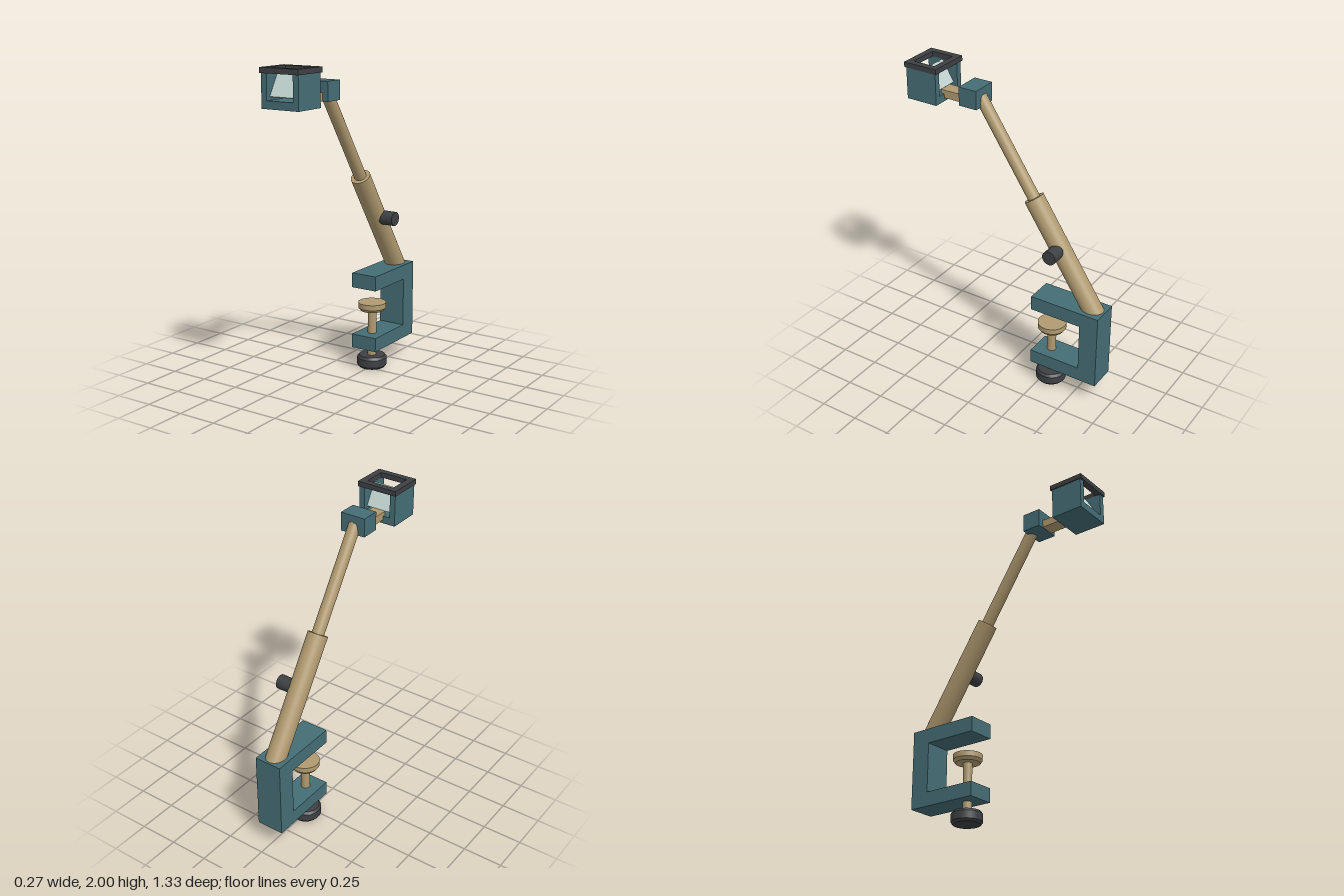
import * as THREE from 'three';

const paint = (color) => new THREE.MeshStandardMaterial({ color, roughness: 0.7 });

export function createModel() {
  const model = new THREE.Group();
  const teal = paint(0x456d75), tan = paint(0xb09a70), dark = paint(0x3d4043), mirror = paint(0xc2d4d0);
  teal.name = 'teal';

  const add = (name, geometry, material, x = 0, y = 0, z = 0) => {
    const mesh = new THREE.Mesh(geometry, material);
    mesh.name = name;
    mesh.position.set(x, y, z);
    model.add(mesh);
    return mesh;
  };
  const polygon = (points) => new THREE.Shape(points.map(([x, y]) => new THREE.Vector2(x, y)));
  const extrude = (shape, depth) =>
    new THREE.ExtrudeGeometry(shape, { depth, bevelEnabled: false }).translate(0, 0, -depth / 2);
  // Straight rod between two points in the x = 0 plane, given as [y, z]
  const rod = (name, from, to, radius) => {
    const a = new THREE.Vector3(0, ...from), b = new THREE.Vector3(0, ...to);
    const mesh = add(name, new THREE.CylinderGeometry(radius, radius, a.distanceTo(b), 40), tan);
    mesh.position.copy(a).lerp(b, 0.5);
    mesh.quaternion.setFromUnitVectors(new THREE.Vector3(0, 1, 0), b.clone().sub(a).normalize());
  };
  // Turned part with crisp edges: each profile segment is its own band
  const turned = (name, profile, material, z) => {
    const group = new THREE.Group();
    group.name = name;
    group.position.z = z;
    for (let i = 0; i < profile.length - 1; i++) {
      const band = [profile[i], profile[i + 1]].map(([r, y]) => new THREE.Vector2(r, y));
      group.add(new THREE.Mesh(new THREE.LatheGeometry(band, 40), material));
    }
    model.add(group);
  };

  // C-shaped clamp, drawn in the z-y plane
  const clamp = polygon([[-0.664, 0.138], [-0.198, 0.138], [-0.198, 0.228], [-0.541, 0.228],
    [-0.541, 0.542], [-0.198, 0.542], [-0.198, 0.637], [-0.664, 0.637]]);
  add('clampFrame', extrude(clamp, 0.178).rotateY(-Math.PI / 2), teal);

  // Clamp screw with pressure pad and hand knob
  const screwZ = -0.299;
  add('clampScrew', new THREE.CylinderGeometry(0.028, 0.028, 0.35, 32), tan, 0, 0.23, screwZ);
  turned('clampPad', [[0, 0.381], [0.076, 0.381], [0.09, 0.4], [0.09, 0.434], [0, 0.434]], tan, screwZ);
  turned('clampKnob', [[0, 0], [0.084, 0], [0.096, 0.015], [0.096, 0.063], [0.084, 0.079], [0, 0.079]], dark, screwZ);

  // Telescoping arm and its locking knob
  rod('outerTube', [0.6, -0.601], [1.277, -0.155], 0.0625);
  rod('innerTube', [1.1, -0.272], [1.843, 0.219], 0.038);
  add('lockingKnob', new THREE.CylinderGeometry(0.045, 0.045, 0.139, 32).rotateZ(Math.PI / 2),
    dark, 0.0695, 0.99, -0.346);

  // Joint block and bar leading to the head
  add('jointBlock', new THREE.BoxGeometry(0.166, 0.117, 0.122), teal, 0, 1.847, 0.254);
  add('headBar', new THREE.BoxGeometry(0.09, 0.05, 0.17), tan, 0, 1.816, 0.385);

  // Head housing: floor and two side walls, open front and back
  const headZ = 0.552;
  const housing = polygon([[-0.127, 1.77], [0.127, 1.77], [0.127, 1.968], [0.09, 1.968],
    [0.09, 1.817], [-0.09, 1.817], [-0.09, 1.968], [-0.127, 1.968]]);
  add('headHousing', extrude(housing, 0.209), teal, 0, 0, headZ);

  // Rectangular rim on top of the housing
  const rim = polygon([[-0.133, -0.114], [0.133, -0.114], [0.133, 0.114], [-0.133, 0.114]]);
  rim.holes.push(polygon([[-0.091, -0.074], [-0.091, 0.074], [0.091, 0.074], [0.091, -0.074]]));
  add('headRim', extrude(rim, 0.032).rotateX(Math.PI / 2), dark, 0, 1.984, headZ);

  // Pair of mirrors leaning together at the top
  for (const side of [1, -1]) {
    const plate = add(side > 0 ? 'frontMirror' : 'backMirror', new THREE.BoxGeometry(0.178, 0.148, 0.008),
      mirror, 0, 1.9, headZ + side * 0.037);
    plate.rotation.x = -side * Math.PI / 6;
  }

  model.children.forEach((part) => { part.position.x -= 0.004; });
  return model;
}
